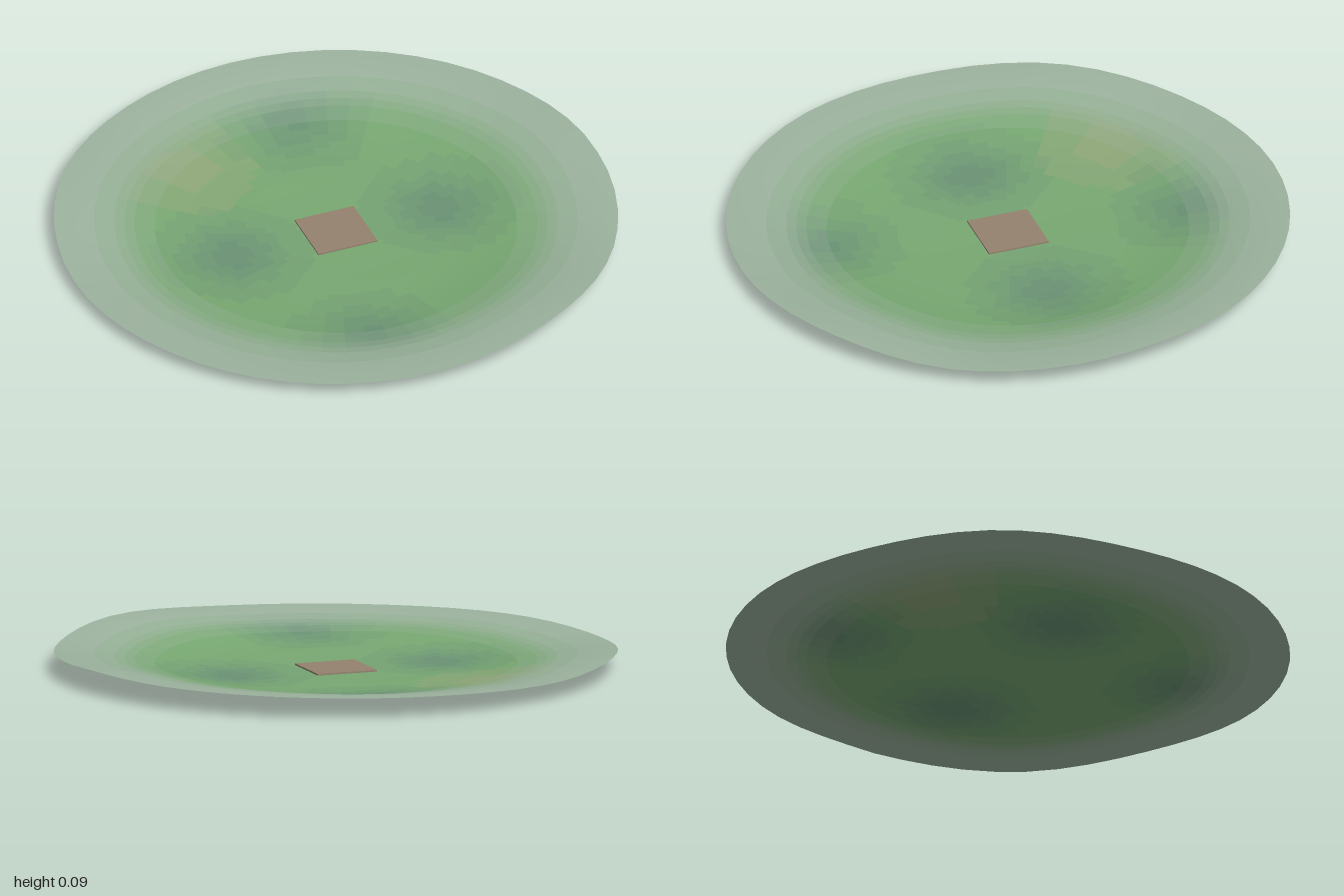
import * as THREE from 'three';

const SEGMENTS = 56, RINGS = 28;
// rim heights every 30 degrees, starting at +x and turning towards +z
const RIM = [0.08, 0.062, 0.082, 0.06, 0.052, 0.055, 0.052, 0.076, 0.066, 0.074, 0.079, 0.082];
const rimCurve = new THREE.CatmullRomCurve3(RIM.map((y, i) => new THREE.Vector3(i, y, 0)), true);
const rimHeight = (turn) => rimCurve.getPoint(turn).y;

// shaded hollows: x, z, radius
const HOLLOWS = [[-0.4, 0, 0.2], [0.4, 0, 0.2], [0.1, -0.66, 0.2], [-0.12, 0.66, 0.2]];
const hollow = (x, z) => HOLLOWS.reduce((sum, [hx, hz, r]) =>
  sum + Math.exp(-((x - hx) ** 2 + (z - hz) ** 2) / (r * r)), 0);

// olive patch towards the back left
const olive = (x, z) => Math.exp(-((x + 0.38) ** 2 + (z + 0.52) ** 2) / 0.05);

// gentle dish: nearly flat in the middle, lifted to a wavy rim
function groundHeight(x, z, r, turn) {
  const lift = THREE.MathUtils.smoothstep(r, 0.42, 1.02);
  const swell = 0.008 * THREE.MathUtils.smoothstep(r, 0.15, 0.5) * (1 - lift);
  return 0.002 + swell * (1 - Math.min(1, hollow(x, z))) + (rimHeight(turn) - 0.002) * lift;
}

function createGround() {
  const positions = [], index = [];
  for (let i = 0; i <= RINGS; i++) {
    for (let j = 0; j < SEGMENTS; j++) {
      const r = i / RINGS, turn = j / SEGMENTS, a = turn * Math.PI * 2;
      const x = r * Math.cos(a), z = r * Math.sin(a);
      positions.push(x, groundHeight(x, z, r, turn), z);
    }
  }
  // collect faces by tint, so each tint becomes one mesh
  const tints = new Map();
  for (let i = 0; i < RINGS; i++) {
    for (let j = 0; j < SEGMENTS; j++) {
      const k = (j + 1) % SEGMENTS;
      const a = i * SEGMENTS + j, b = i * SEGMENTS + k;
      const c = a + SEGMENTS, d = b + SEGMENTS;
      const faces = i === 0 ? [a, d, c] : [a, b, d, a, d, c];
      index.push(...faces);
      const r = (i + 0.5) / RINGS, t = (j + 0.5) / SEGMENTS * Math.PI * 2;
      const x = r * Math.cos(t), z = r * Math.sin(t);
      const edge = Math.round(5 * THREE.MathUtils.smoothstep(r, 0.58, 0.92));
      const dark = Math.round(4 * Math.min(1, hollow(x, z)));
      const warm = Math.round(2 * olive(x, z));
      const key = [edge, dark, warm].join('-');
      if (!tints.has(key)) tints.set(key, { edge, dark, warm, faces: [] });
      tints.get(key).faces.push(...faces);
    }
  }
  const surface = new THREE.BufferGeometry();
  surface.setAttribute('position', new THREE.Float32BufferAttribute(positions, 3));
  surface.setIndex(index);
  surface.computeVertexNormals();

  const ground = new THREE.Group();
  ground.name = 'ground';
  for (const { edge, dark, warm, faces } of tints.values()) {
    const color = new THREE.Color(0x78a872)
      .lerp(new THREE.Color(0x8ea678), warm / 2)
      .lerp(new THREE.Color(0x6a9274), dark / 4)
      .lerp(new THREE.Color(0x9cb29e), edge / 5);
    const geometry = new THREE.BufferGeometry();
    geometry.setAttribute('position', surface.getAttribute('position'));
    geometry.setAttribute('normal', surface.getAttribute('normal'));
    geometry.setIndex(faces);
    const patch = new THREE.Mesh(geometry,
      new THREE.MeshStandardMaterial({ color, side: THREE.DoubleSide }));
    patch.name = 'grassPatch';
    ground.add(patch);
  }
  return ground;
}

export function createModel() {
  const model = new THREE.Group();
  model.name = 'meadow';
  model.add(createGround());

  // square earth pad lying in the middle
  const pad = new THREE.Mesh(new THREE.BoxGeometry(0.225, 0.006, 0.225),
    new THREE.MeshStandardMaterial({ color: 0x94826e }));
  pad.name = 'earthPad';
  pad.position.y = 0.006;
  model.add(pad);
  return model;
}
